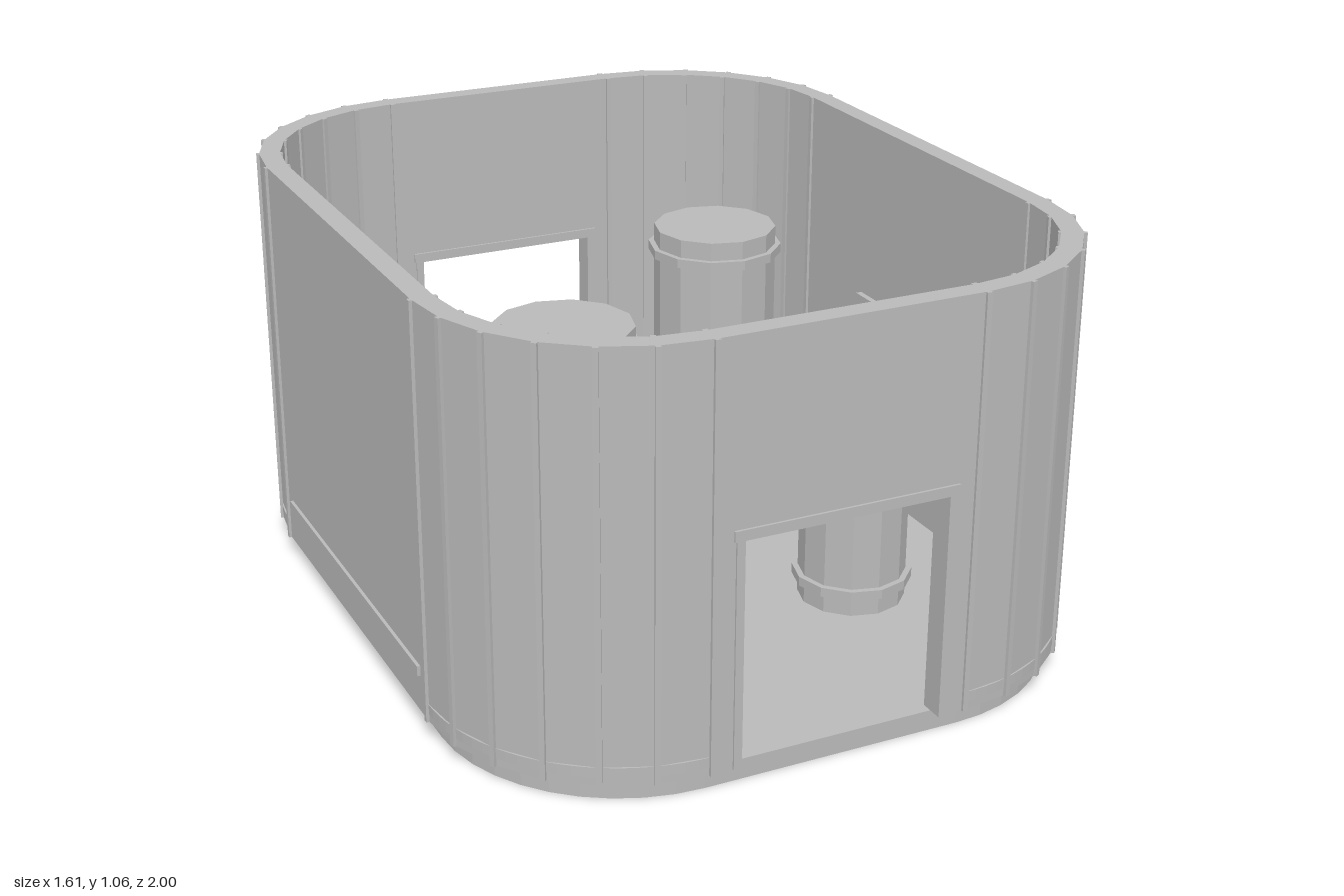
import * as THREE from 'three';

const CX = 0.32, CZ = 0.52;          // corner arc centres
const R_OUT = 0.475, R_IN = 0.423;   // wall radii
const FLOOR = 0.05, DOOR_TOP = 0.6, TOP = 1.06, DOOR = 0.25;

// points of one corner arc, angles in degrees
function arc(sx, sz, r, a0, a1, n) {
  const pts = [];
  for (let i = 0; i <= n; i++) {
    const a = THREE.MathUtils.degToRad(a0 + ((a1 - a0) * i) / n);
    pts.push(new THREE.Vector2(sx * CX + r * Math.cos(a), sz * CZ + r * Math.sin(a)));
  }
  return pts;
}

// full rounded outline
function outline(r, n) {
  return [
    ...arc(1, 1, r, 0, 90, n), ...arc(-1, 1, r, 90, 180, n),
    ...arc(-1, -1, r, 180, 270, n), ...arc(1, -1, r, 270, 360, n),
  ];
}

// extrude a floor plan upward between two heights
function rise(shape, y0, y1) {
  const g = new THREE.ExtrudeGeometry(shape, { depth: y1 - y0, bevelEnabled: false });
  g.rotateX(-Math.PI / 2);
  g.translate(0, y0, 0);
  return g;
}

export function createModel() {
  const model = new THREE.Group();
  const grey = new THREE.MeshStandardMaterial({ color: 0xb9b9b9 });
  grey.name = 'grey';

  const add = (name, geometry, parent = model) => {
    const m = new THREE.Mesh(geometry, grey);
    m.name = name;
    parent.add(m);
    return m;
  };
  // box from its limits
  const box = (name, x0, x1, y0, y1, z0, z1, parent) => {
    const g = new THREE.BoxGeometry(x1 - x0, y1 - y0, z1 - z0);
    g.translate((x0 + x1) / 2, (y0 + y1) / 2, (z0 + z1) / 2);
    return add(name, g, parent);
  };
  const facetedCylinder = (r, y0, y1) => {
    const g = new THREE.CylinderGeometry(r, r, y1 - y0, 12).toNonIndexed();
    g.computeVertexNormals();
    g.translate(0, (y0 + y1) / 2, 0);
    return g;
  };

  // floor slab
  add('floor', rise(new THREE.Shape(outline(0.445, 10)), 0, FLOOR));

  // wall above the doors
  const ring = new THREE.Shape(outline(R_OUT, 6));
  ring.holes.push(new THREE.Path(outline(R_IN, 6)));
  add('upperWall', rise(ring, DOOR_TOP, TOP));

  // wall halves beside the doors
  const half = (r) => [
    new THREE.Vector2(DOOR, CZ + r), ...arc(1, 1, r, 90, 0, 6),
    ...arc(1, -1, r, 0, -90, 6), new THREE.Vector2(DOOR, -CZ - r),
  ];
  const plan = [...half(R_OUT), ...half(R_IN).reverse()];
  for (const s of [1, -1]) {
    const pts = plan.map((p) => new THREE.Vector2(p.x * s, p.y));
    add(s > 0 ? 'leftWall' : 'rightWall', rise(new THREE.Shape(pts), FLOOR, DOOR_TOP));
  }

  // low skirting, showing between the corner ribs
  const skirt = new THREE.Shape(outline(R_OUT + 0.0005, 24));
  skirt.holes.push(new THREE.Path([
    new THREE.Vector2(-0.765, -0.6), new THREE.Vector2(0.765, -0.6),
    new THREE.Vector2(0.765, 0.6), new THREE.Vector2(-0.765, 0.6),
  ]));
  for (const [sx, sz] of [[1, 1], [-1, 1], [-1, -1], [1, -1]]) {
    const a = Math.atan2(sz, sx) * 180 / Math.PI;
    const mid = Math.round((a - 45) / 90) * 90;
    const pts = [
      ...arc(sx, sz, R_OUT + 0.0005, mid, mid + 90, 24),
      ...arc(sx, sz, R_OUT - 0.02, mid + 90, mid, 24),
    ];
    add('cornerSkirting', rise(new THREE.Shape(pts), 0.07, 0.095));
  }

  // ribs at the corner joints, outside and inside
  const ribs = new THREE.Group();
  ribs.name = 'wallRibs';
  model.add(ribs);
  for (const sx of [1, -1]) for (const sz of [1, -1]) {
    for (let i = 0; i <= 6; i++) {
      const a = (i * Math.PI) / 12;
      for (const r of [R_OUT, R_IN]) {
        const rib = add('rib', new THREE.BoxGeometry(0.014, TOP - FLOOR, 0.013), ribs);
        rib.position.set(sx * (CX + r * Math.cos(a)), (TOP + FLOOR) / 2, sz * (CZ + r * Math.sin(a)));
        rib.rotation.y = -Math.atan2(sz * Math.sin(a), sx * Math.cos(a));
      }
    }
  }

  // door frames on both faces of the front and back walls
  for (const s of [1, -1]) {
    const frame = new THREE.Group();
    frame.name = s > 0 ? 'frontDoorFrame' : 'backDoorFrame';
    model.add(frame);
    for (const z of [s * (CZ + R_OUT), s * (CZ + R_IN)]) {
      box('lintel', -0.275, 0.275, DOOR_TOP, 0.625, z - 0.006, z + 0.006, frame);
      box('jamb', DOOR, 0.27, FLOOR, DOOR_TOP, z - 0.005, z + 0.005, frame);
      box('jamb', -0.27, -DOOR, FLOOR, DOOR_TOP, z - 0.005, z + 0.005, frame);
    }
  }

  // side ledges and inner wall panels
  for (const s of [1, -1]) {
    const x = s * (CX + R_OUT);
    box('sideLedge', x - 0.008, x + 0.008, 0.145, 0.17, -0.48, 0.48);
    const p = s * 0.708;
    box('largeWallPanel', p - 0.008, p + 0.008, 0.35, 0.61, -0.18, 0.17);
    box('smallWallPanel', p - 0.008, p + 0.008, 0.1, 0.24, 0.26, 0.42);
  }

  // banded tanks: x, z, body radius, top
  for (const [x, z, r, top] of [
    [-0.39, 0.38, 0.162, 0.89], [0.38, -0.39, 0.162, 0.785], [0.38, 0.38, 0.134, 0.7],
  ]) {
    const tank = new THREE.Group();
    tank.name = 'tank';
    tank.position.set(x, 0, z);
    model.add(tank);
    add('tankBody', facetedCylinder(r, FLOOR, top), tank);
    for (const y of [0.11, 0.38, top - 0.06]) {
      add('tankBand', facetedCylinder(r + 0.015, y - 0.012, y + 0.012), tank);
    }
  }

  // console with an upright screen
  const desk = new THREE.Group();
  desk.name = 'console';
  model.add(desk);
  box('consoleBase', -0.54, -0.24, FLOOR, 0.24, -0.835, -0.705, desk);
  box('consoleTop', -0.558, -0.218, 0.24, 0.26, -0.852, -0.692, desk);
  box('consoleScreen', -0.526, -0.25, 0.26, 0.355, -0.743, -0.727, desk);

  return model;
}
